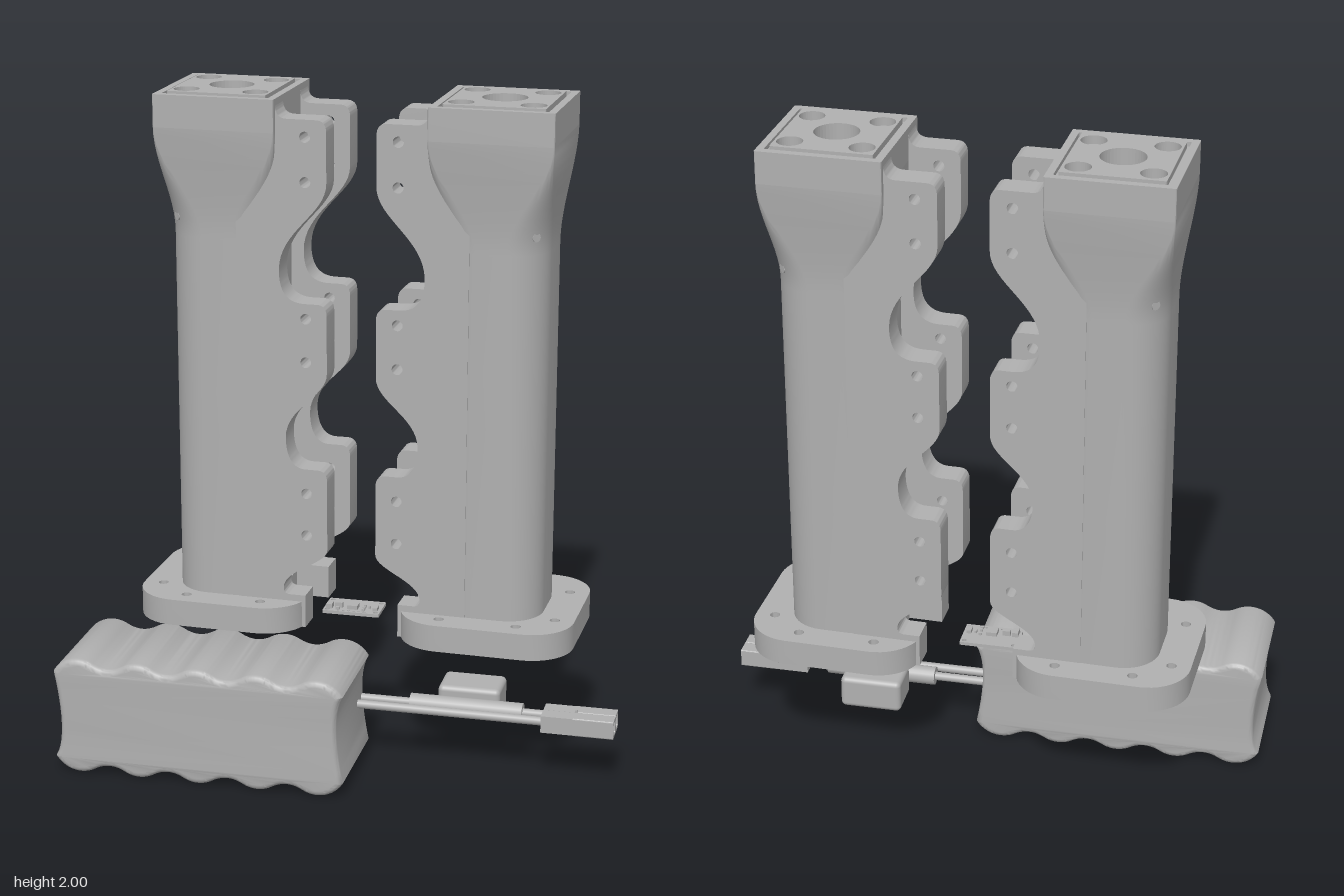
import * as THREE from 'three';
import { toCreasedNormals } from 'three/addons/utils/BufferGeometryUtils.js';
import { RoundedBoxGeometry } from 'three/addons/geometries/RoundedBoxGeometry.js';

const grey = new THREE.MeshStandardMaterial({ color: 0xb0b0b0, side: THREE.DoubleSide });
grey.name = 'plain grey';

function add(parent, name, geometry, x = 0, y = 0, z = 0) {
  const mesh = new THREE.Mesh(geometry, grey);
  mesh.name = name;
  mesh.position.set(x, y, z);
  parent.add(mesh);
  return mesh;
}

// Points of a rounded rectangle, the same count for every size
function roundedRect(hx, hz, r, steps = 10) {
  const pts = [];
  [[1, 1], [-1, 1], [-1, -1], [1, -1]].forEach(([sx, sz], k) => {
    for (let i = 0; i <= steps; i++) {
      const a = (k + i / steps) * Math.PI / 2;
      pts.push(new THREE.Vector2(sx * (hx - r) + r * Math.cos(a), sz * (hz - r) + r * Math.sin(a)));
    }
  });
  return pts;
}

function punch(shape, holes) {
  for (const [x, y, r] of holes) shape.holes.push(new THREE.Path().absarc(x, y, r, 0, Math.PI * 2, true));
  return shape;
}

// Upright slab with vertical holes
function slab(shape, height) {
  return new THREE.ExtrudeGeometry(shape, { depth: height, bevelEnabled: false, curveSegments: 20 }).rotateX(-Math.PI / 2);
}

// Shaft skin: rounded section flaring into a square head
function shaftGeometry() {
  const levels = [0.45, 1.58];
  for (let i = 1; i <= 12; i++) levels.push(1.58 + i * 0.027);
  const pos = [], index = [];
  let n = 0;
  levels.forEach((y, row) => {
    const t = Math.max(0, (y - 1.58) / 0.324), e = t * t * (3 - 2 * t);
    const ring = roundedRect(0.154 + 0.026 * e, 0.168 + 0.019 * e, 0.11 - 0.106 * e);
    n = ring.length;
    ring.forEach(p => pos.push(p.x, y, p.y));
    if (row === 0) return;
    for (let i = 0; i < n; i++) {
      const j = (i + 1) % n, a = (row - 1) * n, b = row * n;
      index.push(a + i, b + i, b + j, a + i, b + j, a + j);
    }
  });
  const g = new THREE.BufferGeometry();
  g.setAttribute('position', new THREE.Float32BufferAttribute(pos, 3));
  g.setIndex(index);
  return toCreasedNormals(g, 0.6);
}

// Scalloped side flange with bolt holes
function flangeGeometry() {
  const s = new THREE.Shape();
  const edge = 0.33;
  s.moveTo(0.06, 0.41);
  s.lineTo(0.06, 1.975);
  s.lineTo(0.18, 1.975);
  s.quadraticCurveTo(0.182, 1.94, 0.215, 1.94);
  const lobes = [[1.94, 1.76, 0.188, 1.5], [1.405, 1.2, 0.205, 1.0], [0.905, 0.66, 0.195, 0.53]];
  lobes.forEach(([top, low, waist, waistY], i) => {
    s.lineTo(0.3, top);
    s.quadraticCurveTo(edge, top, edge, top - 0.035);
    s.lineTo(edge, low);
    const drop = low - waistY;
    s.bezierCurveTo(edge, low - drop * 0.35, waist, waistY + drop * 0.45, waist, waistY);
    if (i < 2) {
      const next = lobes[i + 1][0];
      s.bezierCurveTo(waist, waistY - 0.06, waist + 0.02, next, 0.265, next);
    }
  });
  s.quadraticCurveTo(0.195, 0.51, 0.215, 0.51);
  s.lineTo(0.262, 0.51);
  s.lineTo(0.262, 0.41);
  punch(s, [1.89, 1.76, 1.36, 1.23, 0.83, 0.7].map(y => [0.267, y, 0.016]));
  const g = new THREE.ExtrudeGeometry(s, { depth: 0.082, bevelEnabled: false, curveSegments: 16 });
  return toCreasedNormals(g, 0.5);
}

function makeTower(name, x, z, turn) {
  const tower = new THREE.Group();
  tower.name = name;
  tower.position.set(x, 0, z);
  tower.rotation.y = turn;

  // Foot plate, notched between the flanges
  const outline = roundedRect(0.258, 0.256, 0.13).map(p => p.clone());
  outline.push(new THREE.Vector2(0.258, -0.088), new THREE.Vector2(0.16, -0.088),
    new THREE.Vector2(0.16, 0.088), new THREE.Vector2(0.258, 0.088));
  const bolts = [[0.13, 0.2], [0.13, -0.2], [-0.1, 0.2], [-0.1, -0.2], [-0.2, 0.12], [-0.2, -0.12]];
  const foot = punch(new THREE.Shape(outline), [[0, 0, 0.1], ...bolts.map(b => [...b, 0.015])]);
  add(tower, 'footPlate', toCreasedNormals(slab(foot, 0.08), 0.5), 0, 0.41, 0);

  // Shaft and its bore
  add(tower, 'shaft', shaftGeometry());
  add(tower, 'bore', new THREE.CylinderGeometry(0.1, 0.1, 1.49, 40, 1, true), 0, 1.155, 0);

  // Flanges
  const flange = flangeGeometry();
  add(tower, 'frontFlange', flange, 0, 0, 0.087);
  add(tower, 'backFlange', flange, 0, 0, -0.169);

  // Head: counterbored screw holes, rim groove and raised seat
  const corners = r => [[1, 1], [1, -1], [-1, 1], [-1, -1]].map(([a, b]) => [a * 0.103, b * 0.103, r]);
  const layer = (label, hx, hz, r, y, h) => add(tower, label,
    slab(punch(new THREE.Shape(roundedRect(hx, hz, 0.004, 2)), [[0, 0, 0.065], ...corners(r)]), h), 0, y, 0);
  layer('headLower', 0.18, 0.187, 0.02, 1.9, 0.05);
  layer('headUpper', 0.18, 0.187, 0.037, 1.95, 0.032);
  layer('headSeat', 0.147, 0.152, 0.037, 1.982, 0.018);
  const rim = new THREE.Shape(roundedRect(0.18, 0.187, 0.004, 2));
  rim.holes.push(new THREE.Path(roundedRect(0.158, 0.164, 0.004, 2).reverse()));
  add(tower, 'headRim', slab(rim, 0.013), 0, 1.982, 0);

  // Small drop-shaped marks on the outer corners
  const drop = new THREE.Shape();
  drop.moveTo(0, 0.035);
  drop.lineTo(-0.013, -0.008);
  drop.absarc(0, -0.01, 0.013, Math.PI, Math.PI * 2, false);
  drop.lineTo(0, 0.035);
  const dropGeo = new THREE.ExtrudeGeometry(drop, { depth: 0.008, bevelEnabled: false });
  for (const side of [1, -1]) {
    const mark = add(tower, 'cornerMark', dropGeo, -0.121, 1.645, side * 0.136);
    mark.rotation.y = side > 0 ? -Math.PI / 4 : -Math.PI * 3 / 4;
  }
  return tower;
}

// Pack of two rows of five cells in a shrunk sleeve
function batteryGeometry() {
  const r = 0.089, D = Math.PI / 180, xs = [-0.733, -0.552, -0.371, -0.19, -0.009];
  const arcs = [];
  xs.forEach((x, i) => arcs.push([x, 0.094, i === 0 ? 210 : 240, i === 4 ? 330 : 300]));
  [...xs].reverse().forEach((x, i) => arcs.push([x, 0.276, i === 0 ? 30 : 60, i === 4 ? 150 : 120]));
  const at = ([x, y], a) => new THREE.Vector2(x + r * Math.cos(a * D), y + r * Math.sin(a * D));
  const s = new THREE.Shape();
  const first = at(arcs[0], arcs[0][2]);
  s.moveTo(first.x, first.y);
  arcs.forEach((c, i) => {
    s.absarc(c[0], c[1], r, c[2] * D, c[3] * D, false);
    const next = arcs[(i + 1) % arcs.length];
    const p = at(c, c[3]), q = at(next, next[2]), n = (c[3] - 30) * D;
    const sink = p.distanceTo(q) / 2 * Math.tan(30 * D);
    s.quadraticCurveTo((p.x + q.x) / 2 - sink * Math.cos(n), (p.y + q.y) / 2 - sink * Math.sin(n), q.x, q.y);
  });
  const g = new THREE.ExtrudeGeometry(s, { depth: 0.324, bevelSize: 0.018, bevelThickness: 0.018, bevelOffset: -0.018, bevelSegments: 4, curveSegments: 10 });
  return toCreasedNormals(g, 0.7);
}

function makeHarness() {
  const harness = new THREE.Group();
  harness.name = 'wireHarness';
  const rod = (name, r, x0, x1, z) =>
    add(harness, name, new THREE.CylinderGeometry(r, r, x1 - x0, 20).rotateZ(Math.PI / 2), (x0 + x1) / 2, 0.187, z);
  for (const z of [0.031, 0.081]) {
    rod('wire', 0.013, 0.04, 0.64, z);
    // Hollow plug housing, open at the far end
    add(harness, 'plugBack', new THREE.BoxGeometry(0.1, 0.052, 0.049), 0.655, 0.187, z);
    const shell = new THREE.Shape(roundedRect(0.025, 0.028, 0.004, 3));
    shell.holes.push(new THREE.Path(roundedRect(0.017, 0.019, 0.004, 3).reverse()));
    const g = new THREE.ExtrudeGeometry(shell, { depth: 0.12, bevelEnabled: false }).rotateY(Math.PI / 2);
    add(harness, 'plugShell', g, 0.7, 0.187, z);
    add(harness, 'plugContact', new THREE.BoxGeometry(0.1, 0.006, 0.02), 0.75, 0.183, z);
  }
  add(harness, 'plugKey', new THREE.BoxGeometry(0.006, 0.072, 0.012), 0.703, 0.187, 0.056);
  // Inline fuse holder
  rod('fuseSleeve', 0.028, 0.2, 0.54, 0.031);
  add(harness, 'fuseBox', new RoundedBoxGeometry(0.188, 0.102, 0.13, 4, 0.016), 0.371, 0.187, -0.056);
  return harness;
}

function makeBoard() {
  const board = new THREE.Group();
  board.name = 'circuitBoard';
  board.position.set(-0.003, 0.42, -0.091);
  const holes = [];
  for (const sx of [-1, 1]) for (const sz of [-1, 1]) holes.push([sx * 0.075, sz * 0.04, 0.007]);
  for (let i = 0; i < 6; i++) holes.push([-0.04 + i * 0.016, -0.043, 0.004]);
  add(board, 'boardPlate', slab(punch(new THREE.Shape(roundedRect(0.087, 0.053, 0.004, 3)), holes), 0.01));
  const chips = [[0, 0.014, 0.032, 0.032, 0.012], [-0.07, 0.022, 0.018, 0.03, 0.014], [-0.043, 0.016, 0.024, 0.014, 0.016],
    [0.07, 0.015, 0.014, 0.03, 0.01], [-0.043, 0.036, 0.012, 0.008, 0.008], [0.035, 0.0, 0.008, 0.008, 0.008],
    [0.035, 0.02, 0.008, 0.008, 0.008], [0.035, 0.036, 0.008, 0.008, 0.008], [0.05, 0.01, 0.006, 0.01, 0.008]];
  for (const [x, z, w, d, h] of chips) add(board, 'chip', new THREE.BoxGeometry(w, h, d), x, 0.01 + h / 2, z);
  return board;
}

export function createModel() {
  const model = new THREE.Group();
  model.name = 'gripAssembly';
  model.add(makeTower('rightTower', -0.373, -0.115, -0.03));
  model.add(makeTower('leftTower', 0.433, -0.09, Math.PI - 0.03));
  add(model, 'batteryPack', batteryGeometry(), 0, 0, 0.023);
  model.add(makeHarness(), makeBoard());
  return model;
}
